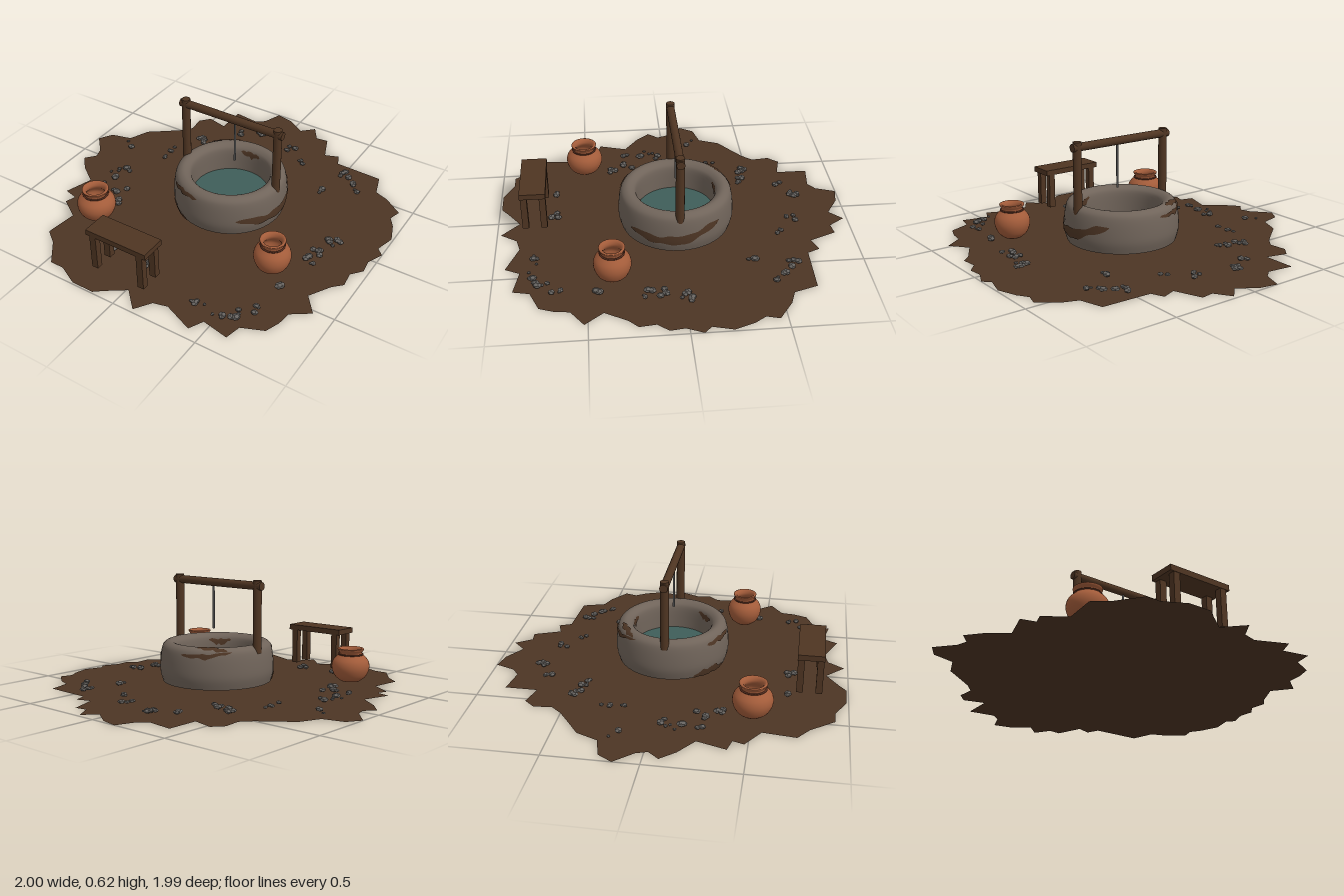
import * as THREE from 'three';

const mat = (name, color, side = THREE.FrontSide) => {
  const m = new THREE.MeshStandardMaterial({ color, side });
  m.name = name;
  return m;
};

export function createModel() {
  const model = new THREE.Group();
  model.name = 'wellYard';
  const earth = mat('earth', 0x4d3524, THREE.DoubleSide);
  const wood = mat('wood', 0x4f3522);
  const stone = mat('stone', 0x70645a);
  const clay = mat('clay', 0xa35c3a);
  const clayDark = mat('dark clay', 0x5a3020);
  const gravel = mat('gravel', 0x65625f);
  gravel.flatShading = true;
  const rope = mat('rope', 0x636363);
  const water = mat('water', 0x3f5e59);

  const add = (name, geo, material, x = 0, y = 0, z = 0, parent = model) => {
    const mesh = new THREE.Mesh(geo, material);
    mesh.name = name;
    mesh.position.set(x, y, z);
    parent.add(mesh);
    return mesh;
  };
  const group = (name, x = 0, y = 0, z = 0) => {
    const g = new THREE.Group();
    g.name = name;
    g.position.set(x, y, z);
    model.add(g);
    return g;
  };
  let seed = 7;
  const rand = () => (seed = (seed * 16807) % 2147483647) / 2147483647;
  const v2 = ([x, y]) => new THREE.Vector2(x, y);

  // Ragged patch of bare earth, x and z in hundredths
  const edge = [
    -16, -100, -6, -98, 5, -91, 12, -98, 18, -89, 25, -90, 31, -75, 39, -78, 42, -71, 70, -70, 74, -57,
    82, -54, 93, -46, 91, -39, 95, -33, 99, -22, 96, -11, 100, -7, 96, 2, 97, 10, 92, 16, 93, 25,
    88, 30, 81, 42, 89, 52, 79, 59, 78, 67, 75, 75, 63, 80, 61, 89, 46, 86, 42, 94, 25, 87,
    17, 89, 11, 98, 1, 88, -9, 95, -14, 99, -27, 99, -39, 93, -47, 93, -57, 80, -65, 74, -63, 56,
    -75, 48, -73, 42, -81, 40, -76, 24, -87, 16, -94, 8, -89, 2, -91, -4, -100, -14, -95, -22, -83, -25,
    -78, -37, -70, -43, -61, -50, -56, -56, -57, -66, -52, -72, -40, -69, -40, -87, -25, -85, -20, -89,
  ];
  const outline = [];
  for (let i = 0; i < edge.length; i += 2) outline.push(new THREE.Vector2(edge[i] / 100, -edge[i + 1] / 100));
  add('ground', new THREE.ShapeGeometry(new THREE.Shape(outline)).rotateX(-Math.PI / 2), earth);

  // Round stone well wall with a rounded rim
  const well = group('well', 0.075, 0, -0.01);
  const wallPoints = [
    [0.308, 0.035], [0.322, 0.09], [0.322, 0.15], [0.314, 0.215], [0.3, 0.248],
    [0.27, 0.263], [0.24, 0.252], [0.222, 0.22], [0.218, 0.12], [0.218, 0.035],
  ].map(v2);
  const wall = new THREE.SplineCurve(wallPoints);
  add('wellWall', new THREE.LatheGeometry(wall.getPoints(36), 48), stone, 0, 0, 0, well);
  add('wellWater', new THREE.CircleGeometry(0.22, 40).rotateX(-Math.PI / 2), water, 0, 0.1, 0, well);

  // Mud stains: strips hugging the wall between two angles (degrees from the front),
  // mid gives the height along the wall profile at start, middle and end
  const stain = (from, to, mid, half) => {
    const geo = new THREE.PlaneGeometry(1, 1, 28, 8);
    const pos = geo.attributes.position;
    const last = wallPoints.length - 1;
    for (let i = 0; i < pos.count; i++) {
      const s = pos.getX(i) + 0.5;
      const k = pos.getY(i) * 2;
      const centre = s < 0.5
        ? THREE.MathUtils.lerp(mid[0], mid[1], s * 2)
        : THREE.MathUtils.lerp(mid[1], mid[2], s * 2 - 1);
      const wobble = 0.75 + 0.2 * Math.sin(s * 17 + from + k) + 0.1 * Math.sin(s * 31);
      const u = centre + k * half * wobble * Math.pow(Math.sin(Math.PI * s), 0.5);
      const t = THREE.MathUtils.clamp(u / last, 0.001, 0.999);
      const p = wall.getPoint(t);
      const d = wall.getTangent(t);
      const r = p.x + d.y * 0.004;
      const a = THREE.MathUtils.degToRad(THREE.MathUtils.lerp(from, to, s));
      pos.setXYZ(i, r * Math.sin(a), p.y - d.x * 0.004, r * Math.cos(a));
    }
    geo.computeVertexNormals();
    add('mudStain', geo, earth, 0, 0, 0, well);
  };
  stain(36, 132, [1.7, 1.3, 2.5], 0.6);
  stain(-44, -4, [3.1, 3.3, 3.3], 0.45);
  stain(-60, -18, [0.3, 0.5, 0.3], 0.6);
  stain(-160, -127, [4.6, 4.5, 3.9], 0.6);
  stain(-176, -122, [3.1, 3.1, 3.7], 0.35);
  stain(163, 196, [6.9, 7, 6.9], 0.35);
  stain(20, 55, [6.9, 7.1, 6.9], 0.3);

  // Timber frame over the well
  const frame = group('frame', 0.073, 0, -0.008);
  for (const side of [-1, 1])
    add('framePost', new THREE.CylinderGeometry(0.024, 0.024, 0.4, 14), wood, side * 0.293, 0.42, 0, frame);
  add('frameBeam', new THREE.CylinderGeometry(0.023, 0.023, 0.65, 14).rotateZ(Math.PI / 2), wood, 0, 0.59, 0, frame);
  add('rope', new THREE.CylinderGeometry(0.006, 0.006, 0.265, 8), rope, 0.028, 0.4575, 0, frame);

  // Bench
  const bench = group('bench', -0.077, 0, 0.787);
  add('benchSeat', new THREE.BoxGeometry(0.375, 0.032, 0.145), wood, 0, 0.25, 0, bench);
  for (const sx of [-1, 1])
    for (const sz of [-1, 1])
      add('benchLeg', new THREE.BoxGeometry(0.038, 0.21, 0.036), wood, sx * 0.148, 0.132, sz * 0.052, bench);

  // Clay pots: rounded belly, narrow neck, flared lip and hollow inside
  const belly = new THREE.SplineCurve([
    [0.055, 0], [0.088, 0.028], [0.107, 0.075], [0.1, 0.118], [0.068, 0.152],
  ].map(v2)).getPoints(18);
  const neck = new THREE.SplineCurve([
    [0.064, 0.154], [0.063, 0.164], [0.073, 0.178], [0.074, 0.186], [0.064, 0.188],
    [0.052, 0.175], [0.052, 0.152], [0.085, 0.1], [0.05, 0.025],
  ].map(v2)).getPoints(32);
  const potProfile = [v2([0, 0]), ...belly, ...neck, v2([0, 0.022])];
  const pot = (x, y, z, width, height) => {
    const g = group('pot', x, y, z);
    g.scale.set(width, height, width);
    add('potBody', new THREE.LatheGeometry(potProfile, 32), clay, 0, 0, 0, g);
    add('potNeckBand', new THREE.TorusGeometry(0.068, 0.005, 8, 32).rotateX(Math.PI / 2), clayDark, 0, 0.154, 0, g);
  };
  pot(-0.494, 0.025, 0.5, 1, 1);
  pot(0.563, 0.033, 0.365, 0.93, 1.03);

  // Clusters of pebbles: x, z in hundredths and count
  const clusters = [
    [-14, -74, 6], [10, -68, 5], [22, -58, 3], [-27, -67, 3], [52, -62, 4], [62, -52, 4], [46, -39, 2],
    [-43, -46, 6], [-31, -43, 4], [-53, -27, 3], [-78, -17, 3], [-52, -17, 3], [-64, 6, 4], [-66, 15, 3],
    [-66, 23, 2], [-54, 23, 3], [-47, 32, 3], [74, -1, 6], [69, 12, 4], [70, 19, 4], [63, 47, 2],
    [65, 67, 3], [57, 74, 4], [37, 76, 4], [50, 79, 3], [-4, 68, 5], [-27, 67, 2],
  ];
  const pebbles = group('pebbles');
  const pebbleGeo = new THREE.DodecahedronGeometry(1);
  for (const [cx, cz, count] of clusters)
    for (let i = 0; i < count; i++) {
      const r = 0.009 + 0.013 * rand();
      const p = add('pebble', pebbleGeo, gravel,
        cx / 100 + (rand() - 0.5) * 0.07, 0.016 + 0.004 * rand(), cz / 100 + (rand() - 0.5) * 0.07, pebbles);
      p.scale.set(r * 1.15, r * 0.65, r);
      p.rotation.y = rand() * 6.28;
    }

  return model;
}
